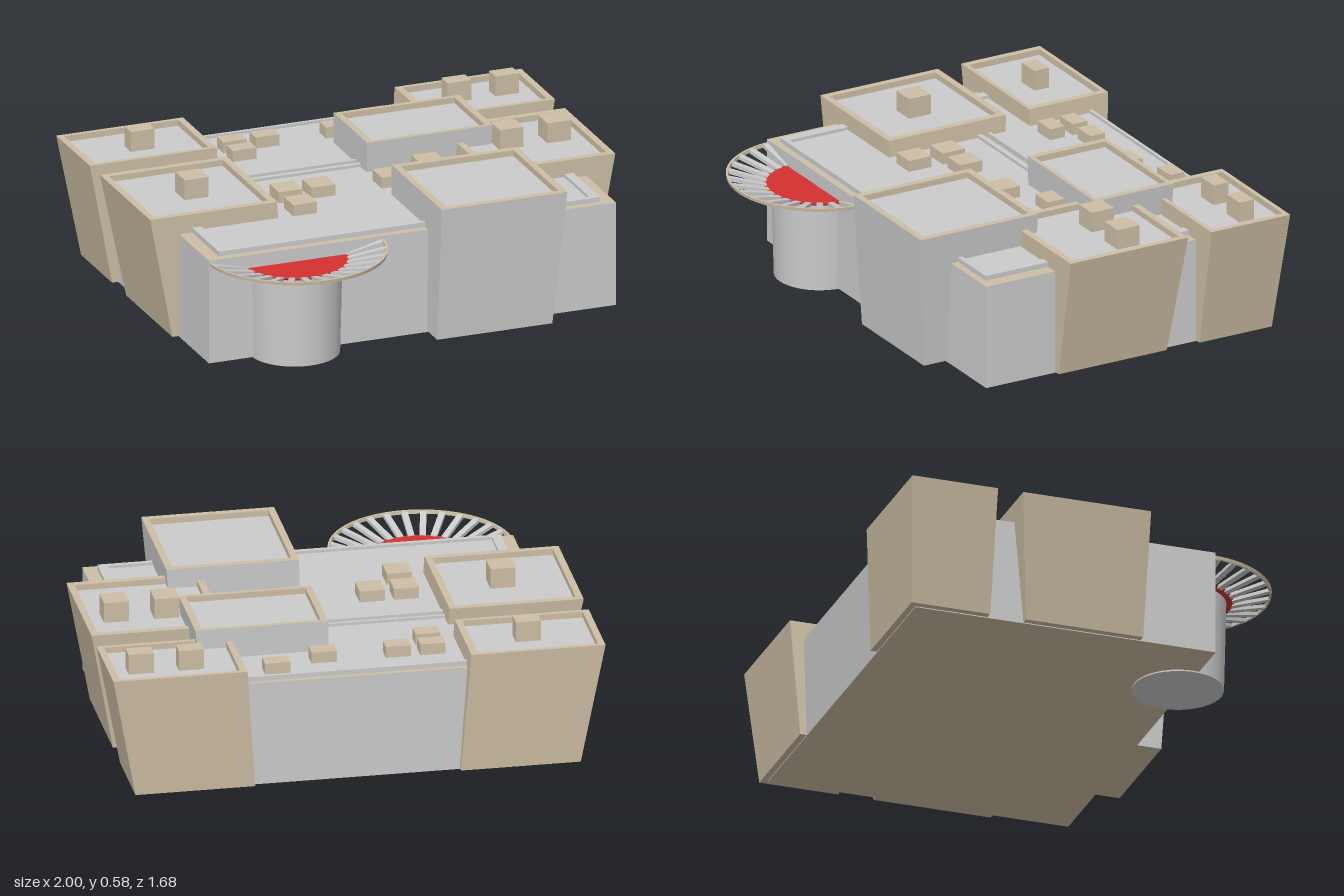
import * as THREE from 'three';

const mat = (color) => new THREE.MeshStandardMaterial({ color, flatShading: true, side: THREE.DoubleSide });
const GREY = mat(0xcccccc), TAN = mat(0xcdbfa5), RED = mat(0xd43030);
const SMOOTH = new THREE.MeshStandardMaterial({ color: 0xcccccc });

function add(parent, name, geometry, material, x = 0, y = 0, z = 0) {
  const mesh = new THREE.Mesh(geometry, material);
  mesh.name = name;
  mesh.position.set(x, y, z);
  parent.add(mesh);
  return mesh;
}

// Joins rectangles [x0, x1, z0, z1, y] by bands of quads; optionally caps an end.
function loft(parent, name, rects, material, cap) {
  const pos = [];
  const corners = ([x0, x1, z0, z1, y]) => [[x0, y, z0], [x0, y, z1], [x1, y, z1], [x1, y, z0]];
  const quad = (a, b, c, d) => pos.push(...a, ...b, ...c, ...a, ...c, ...d);
  for (let i = 0; i < rects.length - 1; i++) {
    const lo = corners(rects[i]), hi = corners(rects[i + 1]);
    for (let k = 0; k < 4; k++) {
      const n = (k + 1) % 4;
      quad(lo[k], lo[n], hi[n], hi[k]);
    }
  }
  if (cap === 'top') quad(...corners(rects[rects.length - 1]));
  if (cap === 'bottom') quad(...corners(rects[0]).reverse());
  const g = new THREE.BufferGeometry();
  g.setAttribute('position', new THREE.Float32BufferAttribute(pos, 3));
  g.computeVertexNormals();
  return add(parent, name, g, material);
}

const inset = ([x0, x1, z0, z1, y], dx, dz, dy = 0) => [x0 + dx, x1 - dx, z0 + dz, z1 - dz, y + dy];

// Tower with sloped walls, tan rim and sunken roof
function tower(parent, name, bottom, top, wall) {
  const g = new THREE.Group();
  g.name = name;
  const inner = inset(top, 0.028, 0.028), roof = inset(top, 0.028, 0.028, -0.025);
  loft(g, name + 'Underside', [bottom], TAN, 'bottom');
  loft(g, name + 'Walls', [bottom, top], wall);
  loft(g, name + 'Rim', [top, inner, roof], TAN);
  loft(g, name + 'Roof', [roof], GREY, 'top');
  parent.add(g);
}

// One wing: main hall, two side towers, a front tower and roof vents
function wing(name) {
  const g = new THREE.Group();
  g.name = name;

  // Main hall with a ledge and a stepped roof
  const base = [-0.875, 0.875, -0.285, 0.49, 0.006];
  const ledge = [...base.slice(0, 4), 0.445];
  const step = inset(ledge, 0.055, 0.03);
  const stepTop = inset(step, 0, 0, 0.02);
  const rim = inset(stepTop, 0.04, 0.02);
  loft(g, 'hallUnderside', [base], TAN, 'bottom');
  loft(g, 'hallWalls', [base, ledge], GREY);
  loft(g, 'hallLedge', [ledge, step], TAN);
  loft(g, 'hallRoof', [step, stepTop, rim, inset(rim, 0, 0, -0.012)], GREY, 'top');

  // Side towers lean outwards
  tower(g, 'leftTower', [0.418, 0.905, -0.325, 0.172, 0.01], [0.455, 1, -0.37, 0.172, 0.523], TAN);
  tower(g, 'rightTower', [-0.905, -0.418, -0.325, 0.172, 0.01], [-1, -0.455, -0.37, 0.172, 0.523], TAN);
  tower(g, 'frontTower', [0.065, 0.56, 0.1, 0.595, 0.01], [0.068, 0.608, 0.097, 0.637, 0.58], GREY);

  // Roof vents: x, z, top height
  const vents = [
    [-0.335, -0.03, 0.5], [-0.195, -0.03, 0.5], [0.107, -0.03, 0.5], [-0.335, 0.125, 0.5], [0.31, -0.143, 0.5],
    [-0.715, -0.094, 0.583], [0.66, -0.143, 0.583], [0.865, -0.143, 0.583],
  ];
  for (const [x, z, top] of vents) {
    add(g, 'roofVent', new THREE.BoxGeometry(0.102, 0.09, 0.102), TAN, x, top - 0.045, z);
  }
  return g;
}

// Round entrance: column, red disc and spoked canopy
function entrance() {
  const g = new THREE.Group();
  g.name = 'entrance';
  add(g, 'column', new THREE.CylinderGeometry(0.193, 0.184, 0.385, 40), SMOOTH, 0, 0.1925, 0);
  add(g, 'canopyDisc', new THREE.CylinderGeometry(0.224, 0.215, 0.008, 40), RED, 0, 0.385, 0);

  const count = 30, r0 = 0.215, r1 = 0.368, y0 = 0.386, y1 = 0.425;
  const length = Math.hypot(r1 - r0, y1 - y0);
  for (let i = 0; i < count; i++) {
    const arm = new THREE.Group();
    arm.name = 'canopySpoke';
    arm.rotation.y = ((i + 0.5) / count) * Math.PI * 2;
    const bar = add(arm, 'spokeBar', new THREE.BoxGeometry(length, 0.014, 0.026), GREY, (r0 + r1) / 2, (y0 + y1) / 2, 0);
    bar.rotation.z = Math.atan2(y1 - y0, r1 - r0);
    g.add(arm);
  }
  const ring = [[0.364, 0.42], [0.373, 0.42], [0.375, 0.434], [0.366, 0.434], [0.364, 0.42]];
  add(g, 'canopyRing', new THREE.LatheGeometry(ring.map(([x, y]) => new THREE.Vector2(x, y)), 60), TAN);
  return g;
}

export function createModel() {
  const model = new THREE.Group();
  model.name = 'building';

  const front = wing('frontWing');
  // Rear wing is a shallower repeat of the front wing
  const rear = wing('rearWing');
  rear.scale.z = 0.67;
  rear.position.z = -0.592;

  const door = entrance();
  door.position.set(-0.498, 0, 0.465);
  model.add(front, rear, door);
  return model;
}
